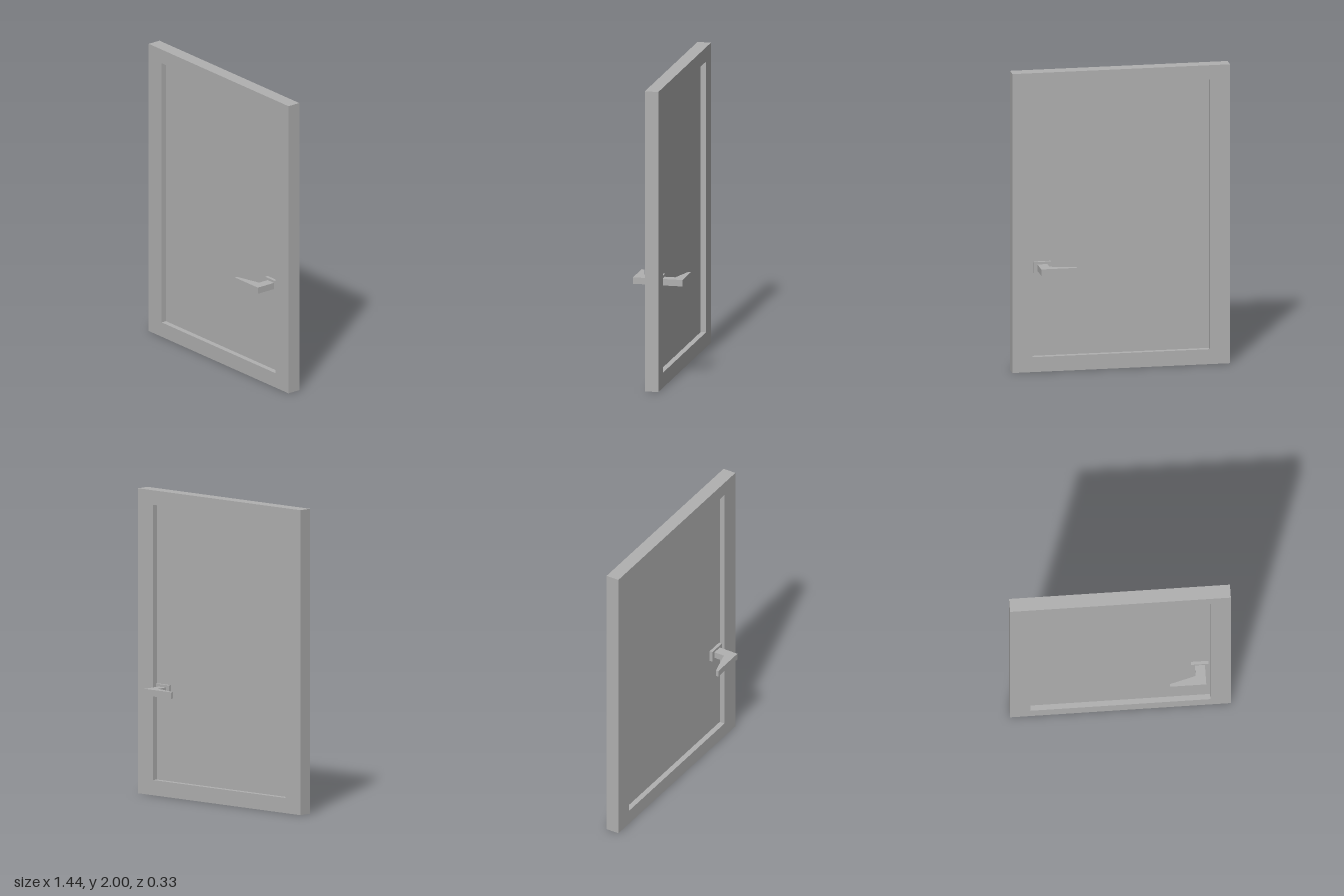
import * as THREE from 'three';

export function createModel() {
  const model = new THREE.Group();
  model.name = 'door';
  const grey = new THREE.MeshStandardMaterial({ color: 0xb0b0b0 });
  grey.name = 'plain grey';

  const add = (parent, name, geometry, x = 0, y = 0, z = 0) => {
    const mesh = new THREE.Mesh(geometry, grey);
    mesh.name = name;
    mesh.position.set(x, y, z);
    parent.add(mesh);
    return mesh;
  };
  const rectangle = (Type, x0, y0, x1, y1) => new Type([
    new THREE.Vector2(x0, y0), new THREE.Vector2(x1, y0),
    new THREE.Vector2(x1, y1), new THREE.Vector2(x0, y1),
  ]);

  // Outer frame with a rectangular opening
  const outline = rectangle(THREE.Shape, -0.718, 0, 0.718, 2);
  outline.holes.push(rectangle(THREE.Path, -0.585, 0.1, 0.585, 1.905));
  add(model, 'frame', new THREE.ExtrudeGeometry(outline, { depth: 0.09, bevelEnabled: false }), 0, 0, -0.045);

  // Thin recessed panel filling the opening
  add(model, 'panel', new THREE.BoxGeometry(1.17, 1.805, 0.018), 0, 1.0025, 0);

  // Lever outline seen from above: x, distance from the panel
  const leverOutline = (side) => new THREE.Shape([
    [0.55, 0.005], [0.55, 0.165], [0.315, 0.165], [0.315, 0.147], [0.485, 0.102], [0.485, 0.005],
  ].map(([x, z]) => new THREE.Vector2(x, z * side)));

  // A back plate and lever on each face
  for (const side of [1, -1]) {
    const handle = new THREE.Group();
    handle.name = side > 0 ? 'frontHandle' : 'backHandle';
    add(handle, 'backPlate', new THREE.BoxGeometry(0.115, 0.076, 0.025), 0.5175, 0.693, side * 0.0175);
    const lever = new THREE.ExtrudeGeometry(leverOutline(side), { depth: 0.043, bevelEnabled: false });
    lever.rotateX(Math.PI / 2);
    add(handle, 'lever', lever, 0, 0.715, 0);
    model.add(handle);
  }
  return model;
}
